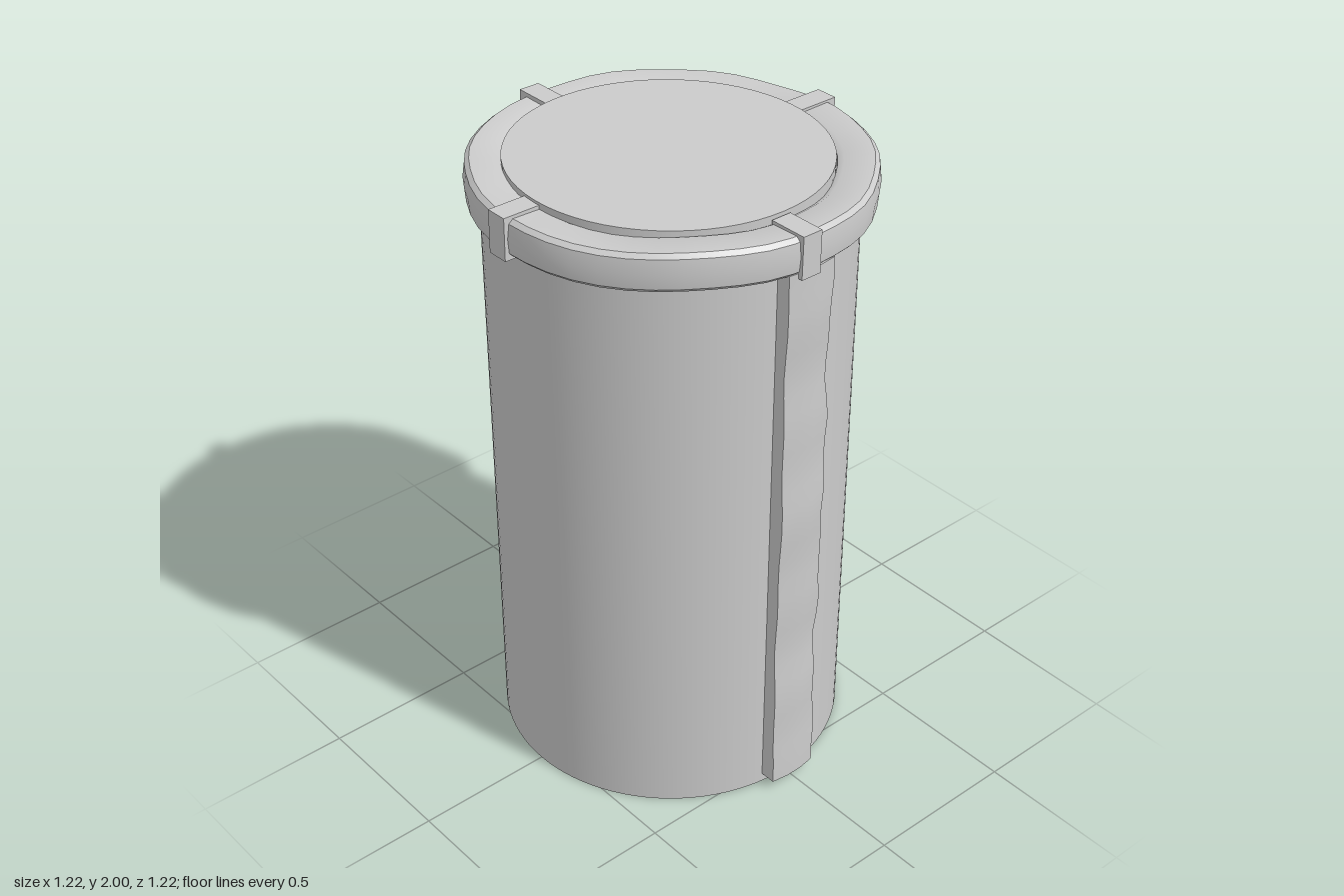
import * as THREE from 'three';
import { toCreasedNormals } from 'three/addons/utils/BufferGeometryUtils.js';

const material = new THREE.MeshStandardMaterial({ color: 0xcccccc });

function addPart(parent, name, geometry, x = 0, y = 0, z = 0) {
  const mesh = new THREE.Mesh(geometry, material);
  mesh.name = name;
  mesh.position.set(x, y, z);
  parent.add(mesh);
  return mesh;
}

// Closed lathe from [radius, height] pairs, with crisp edges
function lathe(profile, segments, wobble) {
  const g = new THREE.LatheGeometry(profile.map(([r, y]) => new THREE.Vector2(r, y)), segments);
  if (wobble) moveVertices(g, wobble);
  return toCreasedNormals(g, 0.6);
}

function moveVertices(geometry, rule) {
  const p = geometry.attributes.position;
  const v = new THREE.Vector3();
  for (let i = 0; i < p.count; i++) {
    rule(v.fromBufferAttribute(p, i));
    p.setXYZ(i, v.x, v.y, v.z);
  }
}

// Hand-worn strip: the outer face and rear edge waver along its height
function stripGeometry(side) {
  const g = new THREE.BoxGeometry(0.08, 1.84, 0.165, 1, 28, 3);
  moveVertices(g, (v) => {
    const y = v.y;
    const outer = v.x > 0;
    if (outer) v.x += 0.004 * Math.sin(7 * y + side) + 0.003 * Math.sin(19 * y);
    if (outer && Math.abs(v.z) > 0.08) v.x -= 0.008;
    if (v.z < -0.08) v.z += 0.004 * Math.sin(11 * y + side) + 0.004 * Math.sin(27 * y);
    v.x *= side;
    v.z *= side;
  });
  return toCreasedNormals(g, 0.6);
}

export function createModel() {
  const group = new THREE.Group();

  // Thick-walled tube, open at the bottom
  addPart(group, 'body', lathe([
    [0.39, 1.9], [0.39, 0], [0.55, 0], [0.55, 1.9], [0.39, 1.9],
  ], 96), 0, 0, 0.005);

  // Slightly tilted cap: lid, rim and clips
  const cap = new THREE.Group();
  cap.name = 'cap';
  cap.position.y = 1.92;
  cap.rotation.x = -0.01;
  group.add(cap);

  addPart(cap, 'lid', new THREE.CylinderGeometry(0.477, 0.477, 0.12, 64), 0, 0.015, 0.013);

  // Rounded rim, gently uneven
  addPart(cap, 'rim', lathe([
    [0.465, -0.055], [0.583, -0.058], [0.596, -0.045], [0.6, 0],
    [0.594, 0.045], [0.58, 0.057], [0.49, 0.055], [0.472, 0.044], [0.465, -0.055],
  ], 48, (v) => {
    const a = Math.atan2(v.z, v.x);
    const s = 1 + 0.004 * Math.sin(5 * a + 1) + 0.003 * Math.sin(11 * a);
    v.x *= s;
    v.z *= s;
    v.y += 0.003 * Math.sin(4 * a) + 0.002 * Math.sin(9 * a + 2);
  }));

  // Four clips wrapped over the rim
  const clips = [
    ['frontClip', -0.022, 0.547, 0.07, 0.125],
    ['backClip', 0.002, -0.54, 0.072, 0.14],
    ['rightClip', -0.54, 0.045, 0.135, 0.07],
    ['leftClip', 0.545, 0.027, 0.125, 0.068],
  ];
  for (const [name, x, z, width, depth] of clips) {
    addPart(cap, name, new THREE.BoxGeometry(width, 0.133, depth), x, 0, z);
  }

  // Vertical side strips
  addPart(group, 'leftStrip', stripGeometry(1), 0.556, 0.95, 0.008);
  // The opposite strip is turned half round
  addPart(group, 'rightStrip', stripGeometry(-1), -0.556, 0.95, -0.015);

  return group;
}
